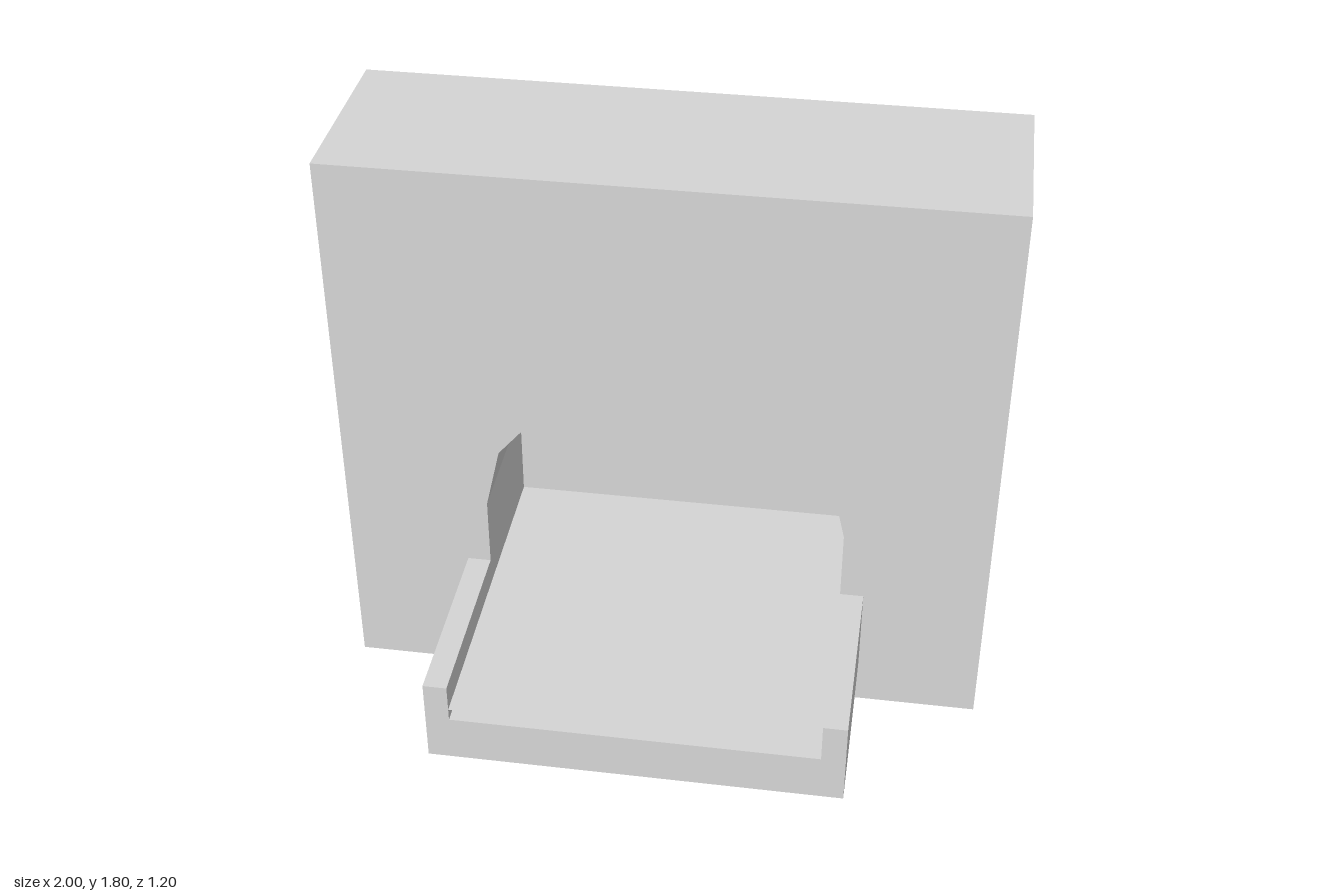
import * as THREE from 'three';

// Closed outline from one half, mirrored across x = 0
function mirroredPoints(half) {
  const right = half.map(([x, y]) => new THREE.Vector2(x, y));
  const left = half.map(([x, y]) => new THREE.Vector2(-x, y)).reverse();
  return [...right, ...left];
}

export function createModel() {
  const group = new THREE.Group();
  const stone = new THREE.MeshStandardMaterial({ color: 0xd5d5d5 });
  stone.name = 'pale grey stone';
  stone.side = THREE.DoubleSide;

  const add = (name, geometry, x, y, z) => {
    const mesh = new THREE.Mesh(geometry, stone);
    mesh.name = name;
    mesh.position.set(x, y, z);
    group.add(mesh);
  };
  const extrude = (shape, depth) =>
    new THREE.ExtrudeGeometry(shape, { depth, bevelEnabled: false });

  const nicheDepth = 0.5;
  const innerHalf = 0.553; // shared half width of niche and hearth floor

  // Chimney block with the faceted arch cut into it
  const wall = new THREE.Shape(mirroredPoints([[1, 0], [1, 1.8]]));
  wall.holes.push(new THREE.Path(mirroredPoints([
    [innerHalf, 0.3], [innerHalf, 0.65], [0.507, 0.85], [0.38, 1.0], [0.207, 1.08],
  ])));
  add('chimneyBlock', extrude(wall, nicheDepth), 0, 0, -nicheDepth);

  // Solid back closing the niche
  add('backWall', new THREE.BoxGeometry(2, 1.8, 0.1), 0, 0.9, -0.55);

  // Projecting hearth with a raised curb on each side
  const hearth = new THREE.Shape(mirroredPoints([
    [0.625, 0.15], [0.625, 0.425], [innerHalf, 0.425], [innerHalf, 0.3],
  ]));
  add('hearth', extrude(hearth, 0.6), 0, 0, 0);

  // Thin sheet covering the hearth and the niche floor
  const floor = new THREE.PlaneGeometry(2 * innerHalf, 1.1).rotateX(-Math.PI / 2);
  add('fireboxFloor', floor, 0, 0.34, 0.05);

  return group;
}
